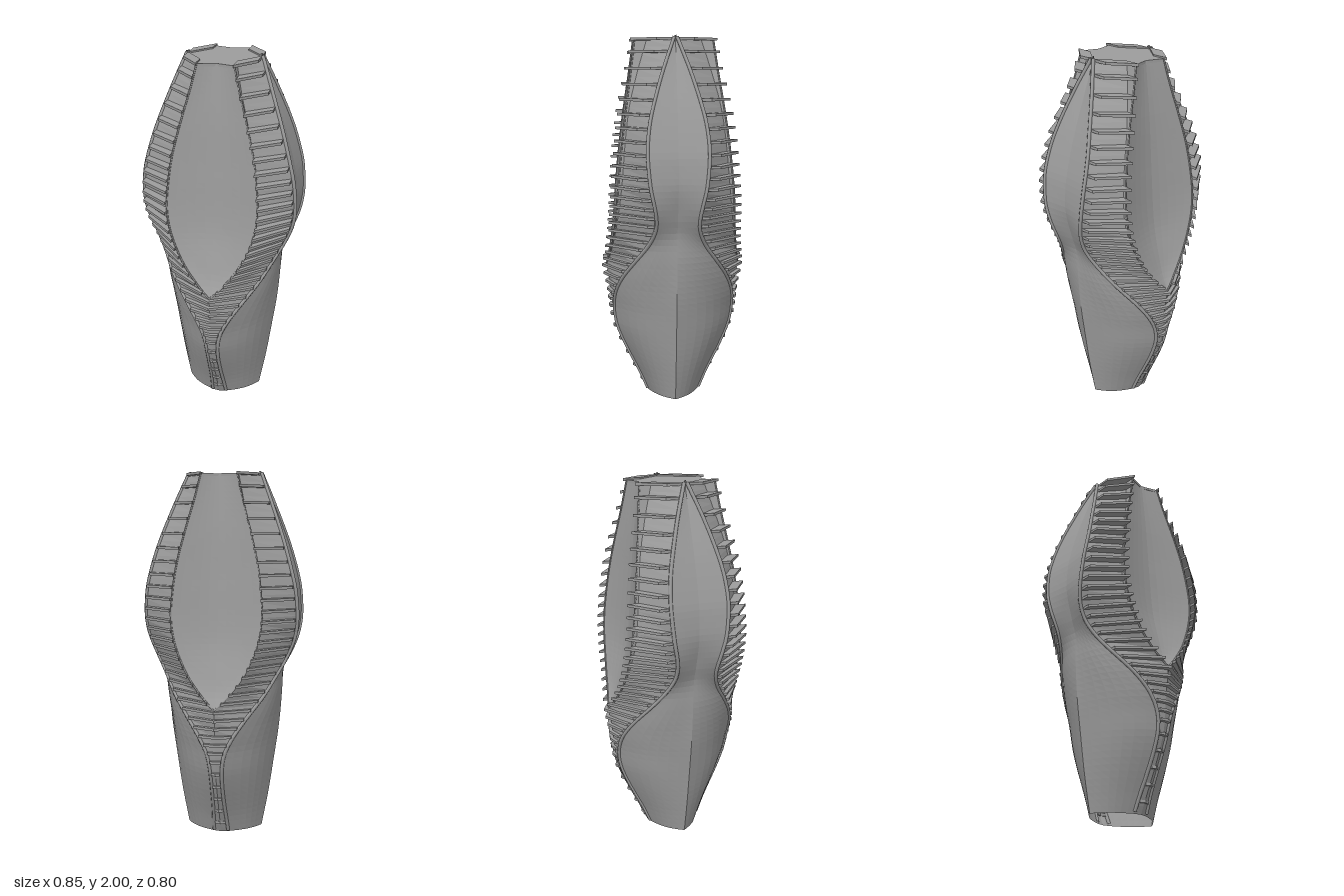
import * as THREE from 'three';
import { mergeGeometries } from 'three/addons/utils/BufferGeometryUtils.js';

// Smooth value along the height from [y, value] keys
function track(keys) {
  const n = keys.length;
  const slope = (i) => {
    const a = keys[Math.max(i - 1, 0)], b = keys[Math.min(i + 1, n - 1)];
    return (b[1] - a[1]) / (b[0] - a[0]);
  };
  return (y) => {
    if (y <= keys[0][0]) return keys[0][1];
    if (y >= keys[n - 1][0]) return keys[n - 1][1];
    let i = 0;
    while (keys[i + 1][0] < y) i++;
    const [y0, v0] = keys[i], [y1, v1] = keys[i + 1];
    const h = y1 - y0, t = (y - y0) / h, u = 1 - t;
    return v0 * (1 + 2 * t) * u * u + slope(i) * h * t * u * u
      + v1 * t * t * (3 - 2 * t) - slope(i + 1) * h * t * t * u;
  };
}

// Curved rim that sweeps from the foot, around the waist, up to the crown
const rimX = track([[0, 0.04], [0.2, 0.03], [0.4, 0.032], [0.5, 0.05], [0.6, 0.1], [0.7, 0.17], [0.8, 0.245], [0.9, 0.305],
  [1, 0.36], [1.1, 0.4], [1.2, 0.416], [1.3, 0.413], [1.4, 0.4], [1.6, 0.346], [1.8, 0.275], [2, 0.197]]);
const rimZ = track([[0, 0.142], [0.1, 0.185], [0.2, 0.235], [0.3, 0.283], [0.4, 0.32], [0.5, 0.333], [0.6, 0.325], [0.7, 0.285],
  [0.8, 0.22], [0.9, 0.152], [1, 0.115], [1.1, 0.122], [1.2, 0.143], [1.3, 0.155], [1.4, 0.16], [1.5, 0.153], [1.6, 0.135],
  [1.8, 0.077], [2, 0.004]]);
// Centre line and bulge of the side shell
const sideX = track([[0, 0.212], [0.2, 0.25], [0.4, 0.28], [0.6, 0.308], [0.8, 0.324], [0.95, 0.33], [1.05, 0.36], [1.2, 0.397],
  [1.3, 0.398], [1.4, 0.386], [1.6, 0.333], [1.8, 0.262], [2, 0.187]]);
const bulge = track([[0, 0.02], [0.4, 0.042], [0.7, 0.03], [0.8, 0.02], [0.95, 0.004], [1.1, 0], [2, 0]]);
// Recessed front leaf: half width, edge depth, centre depth
const TIP = 0.74;
const leafX = track([[TIP, 0], [0.8, 0.06], [0.9, 0.138], [1, 0.19], [1.1, 0.225], [1.2, 0.242], [1.3, 0.242], [1.5, 0.218],
  [1.7, 0.17], [1.85, 0.128], [2, 0.092]]);
const leafZ = track([[0, 0.15], [0.1, 0.198], [0.2, 0.248], [0.3, 0.293], [0.4, 0.328], [0.5, 0.343], [0.6, 0.352], [TIP, 0.373],
  [0.8, 0.357], [0.9, 0.338], [1, 0.326], [1.2, 0.31], [1.4, 0.29], [1.6, 0.265], [1.8, 0.236], [2, 0.21]]);
const foldZ = track([[TIP, 0.373], [0.82, 0.335], [0.9, 0.31], [1.1, 0.262], [1.4, 0.235], [1.7, 0.213], [2, 0.18]]);
// Depth of the band wall behind the leaf edge, and how far the floors project forward of it
const setback = track([[0.8, 0], [1, 0.01], [1.2, 0.02], [1.6, 0.016], [1.8, 0.035], [2, 0.07]]);
const finReach = track([[0, 0.006], [0.3, 0.015], [0.5, 0.02], [TIP, 0.028], [0.9, 0.036], [1, 0.045], [1.2, 0.06], [1.6, 0.06],
  [1.8, 0.066], [2, 0.09]]);

const steps = (a, b, n) => Array.from({ length: n + 1 }, (_, i) => a + (b - a) * i / n);
const TOP = 1.98;

// Cross-sections of one quarter as [x, z] points, running from front to side
function leafSection(y) {
  return steps(0, 1, 5).map((t) => [leafX(y) * t, foldZ(y) + (leafZ(y) - foldZ(y)) * Math.pow(t, 1.5)]);
}
function bandSection(y) {
  return [[leafX(y), leafZ(y)], [leafX(y), leafZ(y) - setback(y)], [rimX(y), rimZ(y)]];
}
function shellSection(y) {
  return steps(0, 1, 7).map((t) => {
    const b = bulge(y) * Math.sin(Math.PI * t);
    return [rimX(y) + (sideX(y) - rimX(y)) * t + b * 0.8, rimZ(y) * (1 - t) + b * 0.6];
  });
}

// Skin over stacked sections, mirrored into a quarter by the signs
function loft(section, ys, sx, sz) {
  const pos = [], index = [];
  let n = 0;
  ys.forEach((y) => {
    const row = section(y).map(([x, z]) => [x * sx, y, z * sz]);
    if (sx * sz < 0) row.reverse();
    n = row.length;
    pos.push(...row.flat());
  });
  for (let j = 0; j < ys.length - 1; j++) {
    for (let i = 0; i < n - 1; i++) {
      const a = j * n + i, c = a + n;
      index.push(a, a + 1, c, a + 1, c + 1, c);
    }
  }
  const g = new THREE.BufferGeometry();
  g.setAttribute('position', new THREE.Float32BufferAttribute(pos, 3));
  g.setIndex(index);
  g.computeVertexNormals();
  return g;
}

// Horizontal slab with a plan of [x, z] points
function slab(points, y, thickness) {
  const shape = new THREE.Shape(points.map(([x, z]) => new THREE.Vector2(x, -z)));
  const g = new THREE.ExtrudeGeometry(shape, { depth: thickness, bevelEnabled: false });
  return g.rotateX(-Math.PI / 2).translate(0, y, 0);
}

function tube(px, pz, ys, radius, sx, sz) {
  const path = new THREE.CatmullRomCurve3(ys.map((y) => new THREE.Vector3(px(y) * sx, y, pz(y) * sz)));
  return new THREE.TubeGeometry(path, 70, radius, 6);
}

// Full plan outline from a quarter outline starting on the z axis and ending on the x axis
function fullPlan(q) {
  const back = q.map(([x, z]) => [x, -z]).reverse().slice(1);
  const half = [...q, ...back];
  return [...half, ...half.slice(1, -1).reverse().map(([x, z]) => [-x, z])];
}

export function createModel() {
  const model = new THREE.Group();
  const color = 0x9c9c9c;
  const smooth = new THREE.MeshStandardMaterial({ color, side: THREE.DoubleSide });
  const flat = new THREE.MeshStandardMaterial({ color, side: THREE.DoubleSide, flatShading: true });
  const add = (parent, name, geometry, material) => {
    const mesh = new THREE.Mesh(geometry, material);
    mesh.name = name;
    parent.add(mesh);
  };

  // Floor levels: close together at the waist, wider towards the crown
  const levels = [0.06, 0.14, 0.22, 0.3, 0.38, 0.45];
  for (let y = 0.5; y < 1.95; y += y < 1 ? 0.046 : 0.046 + (y - 1) * 0.05) levels.push(y);
  levels.push(TOP);

  for (const sx of [1, -1]) {
    for (const sz of [1, -1]) {
      const quarter = new THREE.Group();
      quarter.name = (sz > 0 ? 'front' : 'back') + (sx > 0 ? 'Left' : 'Right') + 'Quarter';
      add(quarter, 'recessedLeaf', loft(leafSection, steps(TIP, TOP, 40), sx, sz), flat);
      add(quarter, 'bandWall', loft(bandSection, steps(0, TOP, 50), sx, sz), flat);
      add(quarter, 'sideShell', loft(shellSection, steps(0, 2, 60), sx, sz), flat);

      // Floor plates: the diagonal wall line pushed straight forward
      const fins = levels.map((y) => {
        const [, [x0, z0], [x1, z1]] = bandSection(y), f = finReach(y);
        const plan = [[x0, z0 + f], [x1 - 0.008, z1 + f], [x1 - 0.008, z1 - 0.01], [x0, z0 - 0.01]];
        return slab(plan.map(([x, z]) => [x * sx, z * sz]), y - 0.006, 0.014);
      });
      add(quarter, 'floorFins', mergeGeometries(fins), flat);

      add(quarter, 'sweepingRim', tube(rimX, rimZ, steps(0.01, 1.99, 40), 0.01, sx, sz), smooth);
      add(quarter, 'leafFrame', tube(leafX, leafZ, steps(TIP, TOP, 26), 0.005, sx, sz), smooth);
      model.add(quarter);
    }
  }

  // Roof plate
  const roofPlan = [[0, foldZ(TOP)], ...bandSection(TOP), [sideX(TOP), 0]];
  add(model, 'roof', slab(fullPlan(roofPlan), TOP - 0.015, 0.015), flat);
  return model;
}
